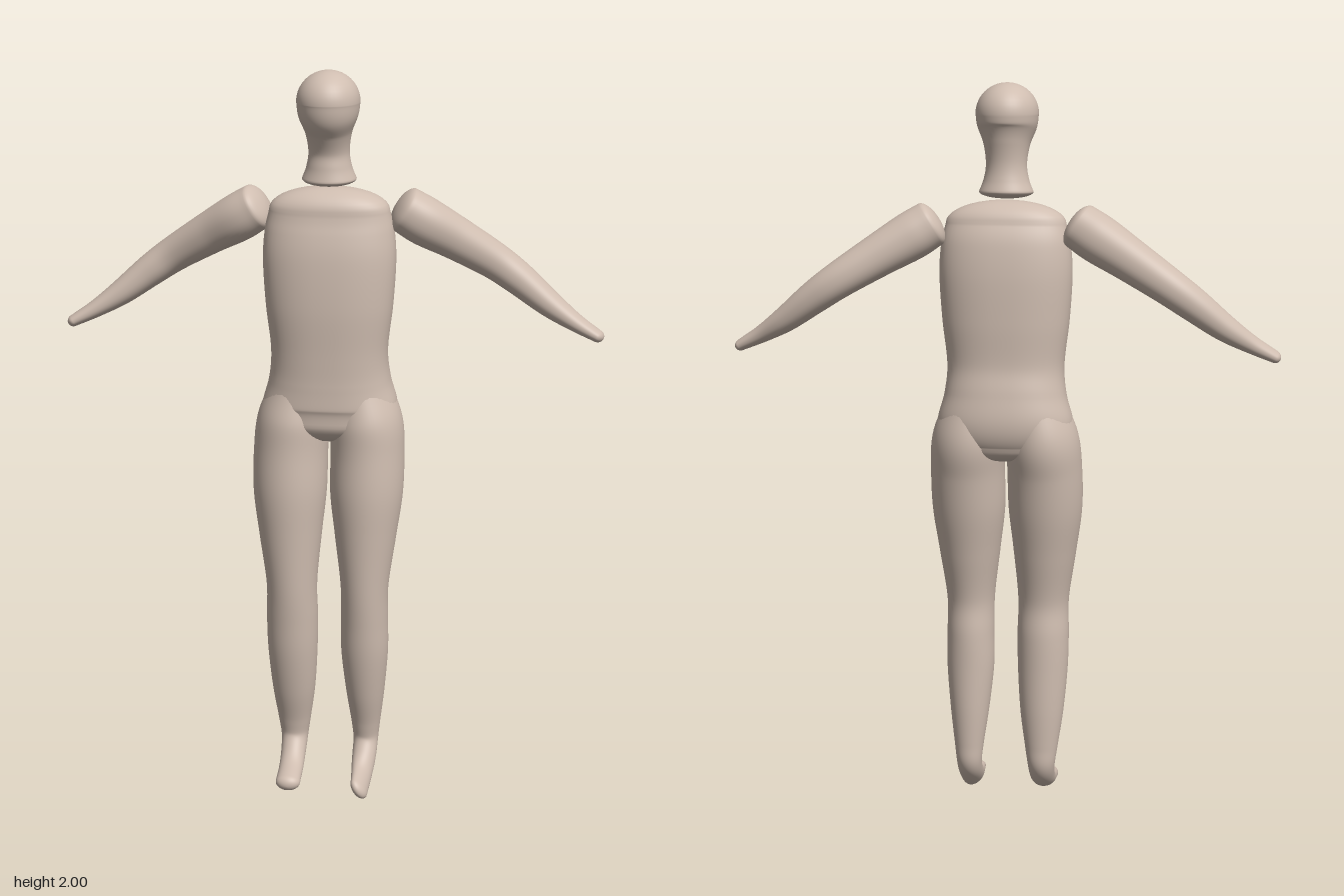
import * as THREE from 'three';

const skin = new THREE.MeshStandardMaterial({ color: 0xcfbdb0 });
skin.name = 'warm beige';

const X = new THREE.Vector3(1, 0, 0);
const Z = new THREE.Vector3(0, 0, 1);

// Smooth closed tube through cross-sections [x, y, z, radiusU, radiusV, roll].
// side sets the direction of radiusU, power squares the outline, caps are end dome lengths.
function limb(name, sections, { side = X, power = 2, caps = [0.02, 0.02] } = {}) {
  const spline = (pick) => new THREE.CatmullRomCurve3(
    sections.map((s) => new THREE.Vector3(...pick(s))), false, 'catmullrom', 0.5);
  const path = spline((s) => [s[0], s[1], s[2]]);
  const size = spline((s) => [s[3], s[4], s[5] || 0]);
  const around = 48, capSteps = 10, steps = (sections.length - 1) * 8;

  // Stations along the tube: start dome, body, end dome
  const stations = [];
  for (let i = 0; i < capSteps; i++) {
    const a = (1 - i / capSteps) * Math.PI / 2;
    stations.push({ t: 0, shift: -caps[0] * Math.sin(a), scale: Math.cos(a) });
  }
  for (let i = 0; i <= steps; i++) stations.push({ t: i / steps, shift: 0, scale: 1 });
  for (let i = 1; i <= capSteps; i++) {
    const a = i / capSteps * Math.PI / 2;
    stations.push({ t: 1, shift: caps[1] * Math.sin(a), scale: Math.cos(a) });
  }

  const positions = [], index = [];
  const soft = (v) => Math.sign(v) * Math.abs(v) ** (2 / power);
  stations.forEach(({ t, shift, scale }, row) => {
    const tangent = path.getTangent(t);
    const centre = path.getPoint(t).addScaledVector(tangent, shift);
    const r = size.getPoint(t);
    const u = side.clone().addScaledVector(tangent, -side.dot(tangent)).normalize();
    u.applyAxisAngle(tangent, r.z);
    const v = tangent.clone().cross(u);
    for (let j = 0; j < around; j++) {
      const a = j / around * Math.PI * 2;
      const p = centre.clone()
        .addScaledVector(u, soft(Math.cos(a)) * r.x * scale)
        .addScaledVector(v, soft(Math.sin(a)) * r.y * scale);
      positions.push(p.x, p.y, p.z);
      if (row === 0) continue;
      const k = (j + 1) % around, b = row * around, c = b - around;
      index.push(c + j, c + k, b + j, c + k, b + k, b + j);
    }
  });
  const geometry = new THREE.BufferGeometry();
  geometry.setAttribute('position', new THREE.Float32BufferAttribute(positions, 3));
  geometry.setIndex(index);
  geometry.computeVertexNormals();
  const mesh = new THREE.Mesh(geometry, skin);
  mesh.name = name;
  return mesh;
}

export function createModel() {
  const model = new THREE.Group();
  model.name = 'figure';

  // Head and flared neck
  model.add(limb('head', [
    [0, 1.92, 0.015, 0.083, 0.096],
    [0, 1.885, 0.014, 0.078, 0.09],
    [0, 1.84, 0.006, 0.061, 0.068],
    [0, 1.79, -0.001, 0.054, 0.054],
    [0, 1.75, -0.003, 0.06, 0.058],
    [0, 1.718, -0.005, 0.072, 0.066],
  ], { caps: [0.08, 0.018] }));

  // Torso, closing between the thighs
  model.add(limb('torso', [
    [0, 1.635, -0.008, 0.16, 0.076],
    [0, 1.58, -0.012, 0.172, 0.092],
    [0, 1.5, -0.011, 0.177, 0.104],
    [0, 1.38, -0.01, 0.17, 0.109],
    [0, 1.26, -0.012, 0.157, 0.107],
    [0, 1.18, -0.02, 0.164, 0.114],
    [0, 1.11, -0.025, 0.182, 0.119],
    [0, 1.06, -0.02, 0.175, 0.108],
  ], { power: 2.35, caps: [0.062, 0.06] }));

  // Legs with forward feet
  model.add(limb('rightLeg', [
    [-0.085, 1.15, -0.025, 0.075, 0.1],
    [-0.1, 1.06, -0.022, 0.097, 0.119],
    [-0.106, 0.97, -0.012, 0.101, 0.113],
    [-0.107, 0.86, 0, 0.1, 0.107],
    [-0.105, 0.74, 0.01, 0.086, 0.092],
    [-0.101, 0.6, 0.019, 0.07, 0.075],
    [-0.101, 0.5, 0.012, 0.071, 0.073],
    [-0.101, 0.4, 0.006, 0.069, 0.068],
    [-0.1, 0.28, -0.006, 0.06, 0.057],
    [-0.1, 0.18, -0.017, 0.046, 0.042],
    [-0.1, 0.125, -0.017, 0.038, 0.037],
    [-0.1, 0.085, 0.012, 0.035, 0.034],
    [-0.1, 0.055, 0.06, 0.034, 0.028],
    [-0.1, 0.04, 0.125, 0.034, 0.023],
  ], { caps: [0.06, 0.024] }));
  model.add(limb('leftLeg', [
    [0.085, 1.15, -0.025, 0.075, 0.1],
    [0.1, 1.06, -0.022, 0.097, 0.119],
    [0.104, 0.97, -0.012, 0.1, 0.113],
    [0.103, 0.86, 0, 0.099, 0.107],
    [0.102, 0.74, 0.01, 0.084, 0.092],
    [0.101, 0.6, 0.019, 0.066, 0.075],
    [0.101, 0.5, 0.012, 0.065, 0.073],
    [0.101, 0.4, 0.006, 0.065, 0.068],
    [0.102, 0.28, -0.006, 0.054, 0.057],
    [0.103, 0.18, -0.017, 0.041, 0.042, -0.1],
    [0.103, 0.125, -0.017, 0.035, 0.036, -0.3],
    [0.102, 0.085, 0.012, 0.034, 0.032, -0.6],
    [0.1, 0.05, 0.06, 0.034, 0.024, -0.9],
    [0.1, 0.033, 0.125, 0.033, 0.017, -1],
  ], { caps: [0.06, 0.026] }));

  // Mirrored arms, bent back at the elbow and flattened at the hand
  for (const [name, s] of [['leftArm', 1], ['rightArm', -1]]) {
    model.add(limb(name, [
      [0.198, 1.633, -0.037, 0.064, 0.062],
      [0.25, 1.601, -0.048, 0.068, 0.064],
      [0.33, 1.554, -0.073, 0.06, 0.057],
      [0.43, 1.492, -0.098, 0.053, 0.049],
      [0.5, 1.443, -0.097, 0.05, 0.044],
      [0.58, 1.382, -0.083, 0.044, 0.035],
      [0.65, 1.337, -0.066, 0.035, 0.024],
      [0.711, 1.304, -0.054, 0.03, 0.016],
    ].map(([x, ...rest]) => [s * x, ...rest]), { side: Z, power: 2.2, caps: [0.028, 0.018] }));
  }
  return model;
}
